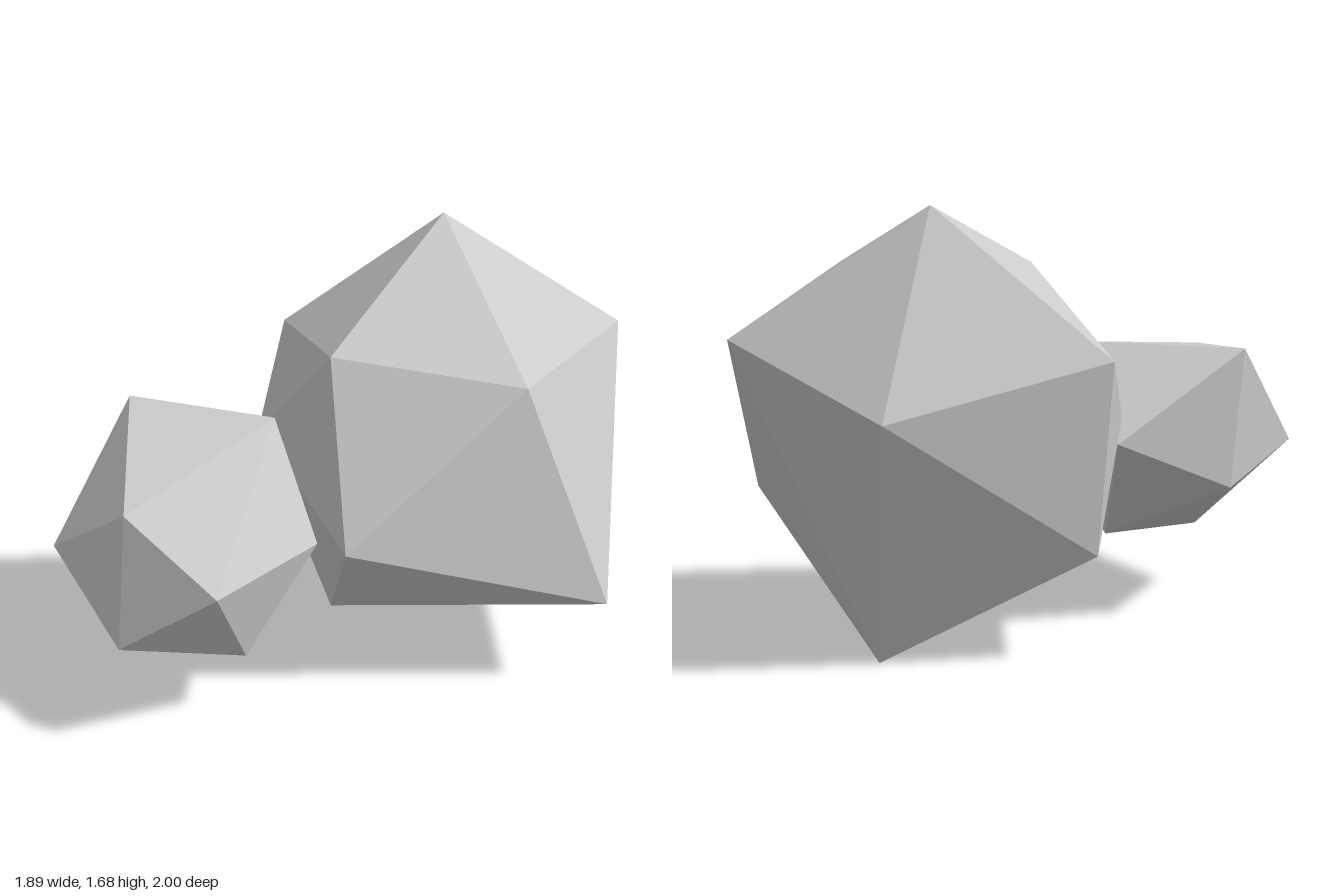
import * as THREE from 'three';

const material = new THREE.MeshStandardMaterial({ color: 0xcccccc, flatShading: true });

// A rough twenty-sided stone: a top corner, two staggered rings of five
// (counter-clockwise from above) and a bottom corner.
function stone(name, top, upper, lower, bottom) {
  const corners = [];
  for (let i = 0; i < 5; i++) {
    const j = (i + 1) % 5;
    corners.push(
      top, upper[i], upper[j],
      upper[i], lower[i], upper[j],
      upper[j], lower[i], lower[j],
      bottom, lower[j], lower[i],
    );
  }
  const geometry = new THREE.BufferGeometry();
  geometry.setAttribute('position', new THREE.Float32BufferAttribute(corners.flat(), 3));
  geometry.computeVertexNormals();
  const mesh = new THREE.Mesh(geometry, material);
  mesh.name = name;
  return mesh;
}

export function createModel() {
  const group = new THREE.Group();
  group.name = 'rocks';

  // Tall boulder at the back
  group.add(stone('largeRock',
    [-0.06, 1.68, -0.67],
    [[-0.12, 1.4, 0.06], [0.59, 1.39, -0.14], [0.56, 1.22, -1], [-0.04, 0.97, -1], [-0.65, 1.14, -0.43]],
    [[0.15, 0.81, 0.4], [0.94, 0.48, -0.22], [0.16, 0, -0.67], [-0.58, 0.42, -0.39], [-0.54, 0.86, -0.06]],
    [-0.16, 0.17, 0.02]));

  // Smaller rock leaning against its front
  group.add(stone('smallRock',
    [-0.53, 1, 0.82],
    [[-0.95, 0.65, 0.75], [-0.46, 0.53, 1], [-0.05, 0.89, 0.93], [-0.33, 1.1, 0.13], [-0.9, 1.09, 0.28]],
    [[-0.61, 0.3, 0.6], [-0.17, 0.34, 0.61], [-0.07, 0.68, 0.25], [-0.55, 0.77, -0.12], [-0.86, 0.55, 0.27]],
    [-0.38, 0.33, 0.2]));

  return group;
}
